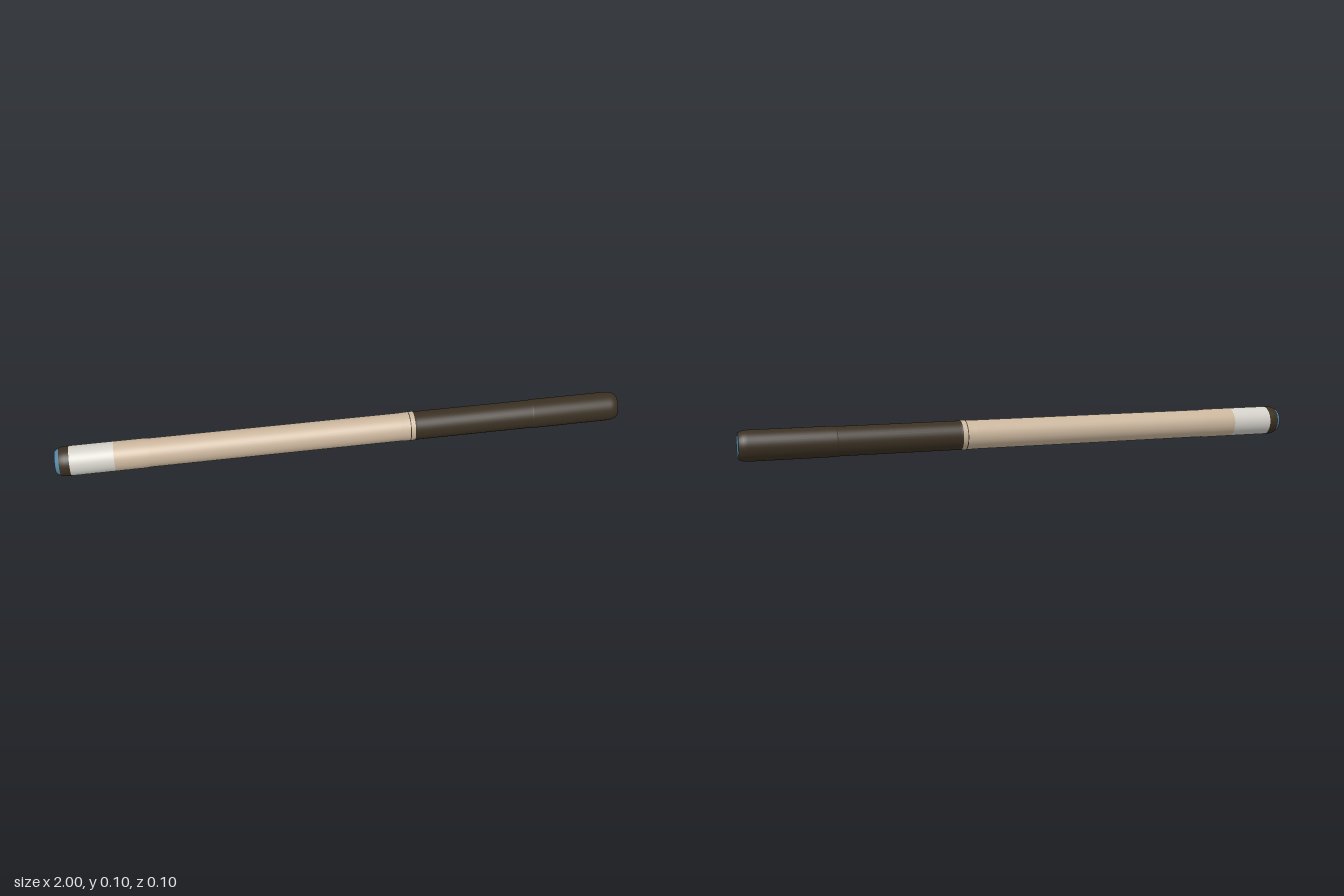
import * as THREE from 'three';

const RADIUS = 0.052;

export function createModel() {
  const material = (name, color) => {
    const m = new THREE.MeshStandardMaterial({ color });
    m.name = name;
    return m;
  };
  const darkBrown = material('dark brown', 0x3a3022);
  const beige = material('beige', 0xcab59c);
  const offWhite = material('off white', 0xd2d0c8);
  const blue = material('blue', 0x5586a3);

  const baton = new THREE.Group();
  baton.name = 'baton';

  // Each part is turned around the x axis from [x, radius] points, left to right
  const turn = (name, mat, points) => {
    const profile = points.map(([x, r]) => new THREE.Vector2(r, x));
    const geometry = new THREE.LatheGeometry(profile, 40);
    geometry.rotateZ(-Math.PI / 2);
    const mesh = new THREE.Mesh(geometry, mat);
    mesh.name = name;
    mesh.position.y = RADIUS;
    baton.add(mesh);
  };

  // Tip end: blue cap, dark rim and pale band
  turn('tipCap', blue, [[-1, 0], [-1, 0.037], [-0.995, 0.042], [-0.985, 0.0475]]);
  turn('tipRim', darkBrown, [[-0.985, 0.0475], [-0.975, 0.051], [-0.965, RADIUS], [-0.95, RADIUS]]);
  turn('paleBand', offWhite, [[-0.95, RADIUS], [-0.8, RADIUS]]);

  // Long shaft, very slightly slimmer past the band
  turn('shaft', beige, [[-0.8, RADIUS], [-0.7, RADIUS], [-0.68, 0.0505], [0.2, 0.0505], [0.23, RADIUS], [0.25, RADIUS]]);
  turn('jointLine', darkBrown, [[0.232, 0.0522], [0.235, 0.0522]]);

  // Dark handle with a thicker grip
  turn('handle', darkBrown, [[0.25, RADIUS], [0.26, 0.0505], [0.68, 0.0505]]);
  turn('grip', darkBrown, [[0.68, 0.0505], [0.684, RADIUS], [0.97, RADIUS], [0.985, 0.05], [0.995, 0.046], [1, 0.043]]);
  turn('handleCap', blue, [[1, 0.043], [1, 0]]);

  return baton;
}
